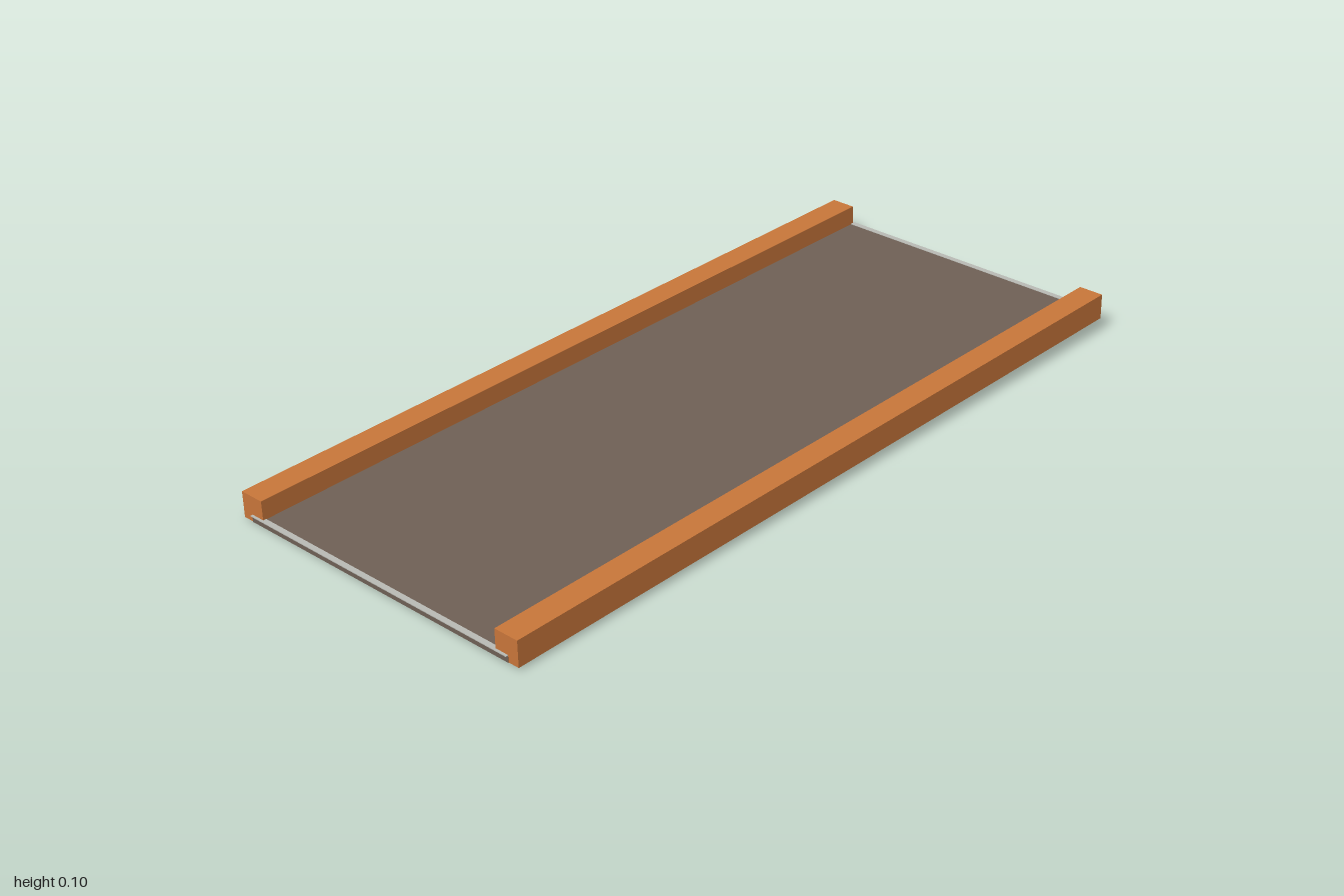
import * as THREE from 'three';

export function createModel() {
  const orange = new THREE.MeshStandardMaterial({ color: 0xc8763a });
  orange.name = 'orange rail';
  const brown = new THREE.MeshStandardMaterial({ color: 0x6f6055 });
  brown.name = 'brown deck';
  const grey = new THREE.MeshStandardMaterial({ color: 0xb9bab4 });
  grey.name = 'pale edging';

  const model = new THREE.Group();
  model.name = 'rampSection';

  // The whole section leans slightly up to the back and to the left
  const tilted = new THREE.Group();
  tilted.name = 'tiltedSection';
  tilted.position.y = 0.02;
  tilted.rotation.set(0.0146, 0, 0.0088);
  model.add(tilted);

  // Box placed by the centre of its base
  const addBox = (name, material, [w, h, d], [x, y, z]) => {
    const mesh = new THREE.Mesh(new THREE.BoxGeometry(w, h, d), material);
    mesh.name = name;
    mesh.position.set(x, y + h / 2, z);
    tilted.add(mesh);
  };

  // Deck, reaching halfway under the rails
  addBox('deck', brown, [0.8, 0.017, 1.988], [0, -0.0005, 0]);

  // Side rails
  for (const side of [-1, 1]) {
    const name = side > 0 ? 'leftRail' : 'rightRail';
    addBox(name, orange, [0.065, 0.065, 1.986], [side * 0.3965, 0, 0]);
  }

  // Thin edging strips across both ends
  for (const end of [-1, 1]) {
    const name = end > 0 ? 'frontEdging' : 'backEdging';
    addBox(name, grey, [0.8, 0.002, 0.014], [0, 0.0157, end * 0.992]);
  }

  return model;
}
